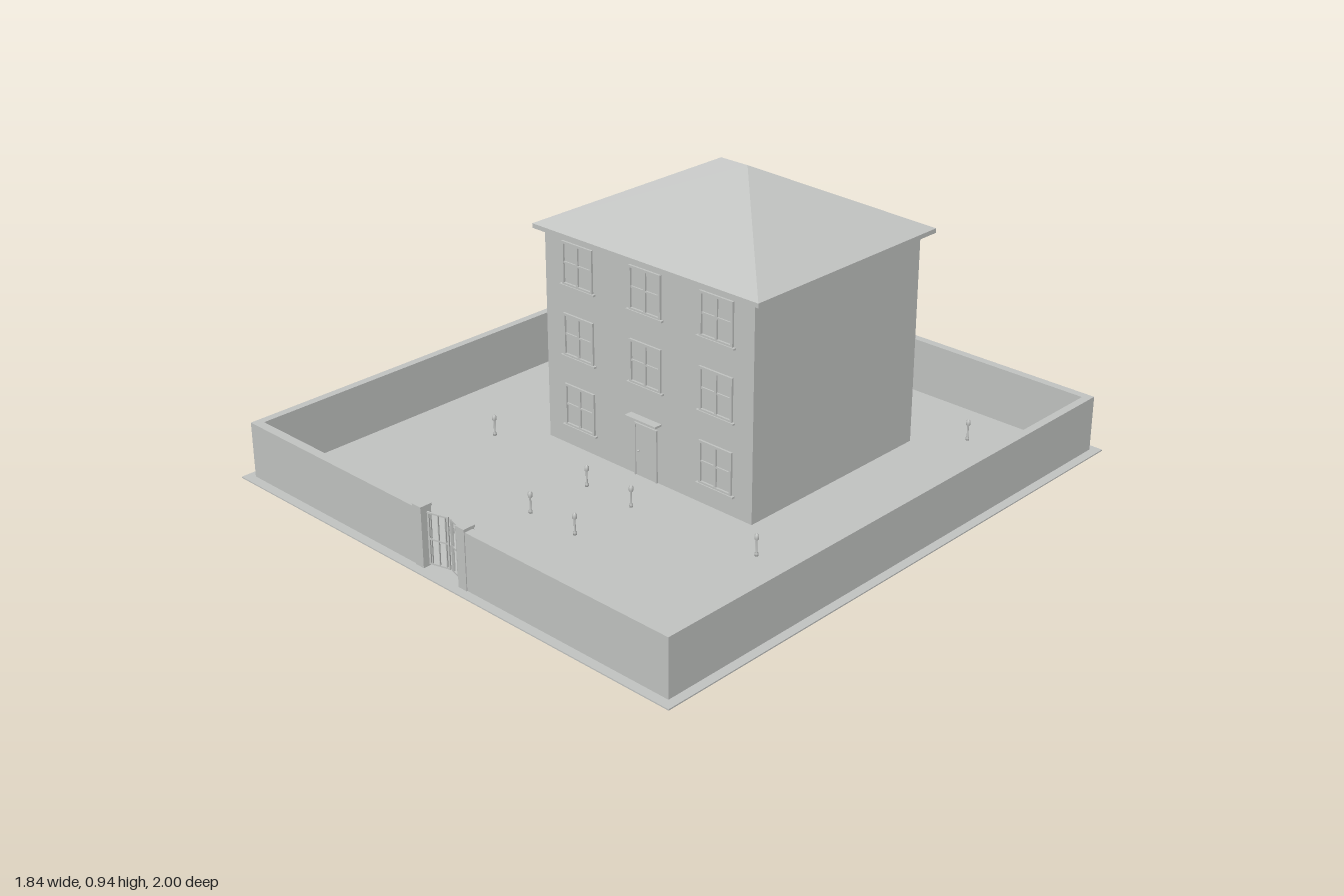
import * as THREE from 'three';

const stone = new THREE.MeshStandardMaterial({ color: 0xc0c2c0 });
stone.name = 'pale grey';

function add(parent, name, geometry, x = 0, y = 0, z = 0) {
  const mesh = new THREE.Mesh(geometry, stone);
  mesh.name = name;
  mesh.position.set(x, y, z);
  parent.add(mesh);
  return mesh;
}

// Box given by its lower and upper corners
function block(parent, name, [x0, y0, z0], [x1, y1, z1]) {
  return add(parent, name, new THREE.BoxGeometry(x1 - x0, y1 - y0, z1 - z0),
    (x0 + x1) / 2, (y0 + y1) / 2, (z0 + z1) / 2);
}

function group(parent, name, x = 0, y = 0, z = 0) {
  const g = new THREE.Group();
  g.name = name;
  g.position.set(x, y, z);
  parent.add(g);
  return g;
}

// Hipped roof: four eave corners and a short ridge
function hipRoof(w, z0, z1, y0, ridge, zr, y1) {
  const a = [-w, y0, z1], b = [w, y0, z1], c = [w, y0, z0], d = [-w, y0, z0];
  const l = [-ridge, y1, zr], r = [ridge, y1, zr];
  const faces = [a, b, r, a, r, l, b, c, r, c, d, l, c, l, r, d, a, l];
  const geo = new THREE.BufferGeometry();
  geo.setAttribute('position', new THREE.Float32BufferAttribute(faces.flat(), 3));
  geo.computeVertexNormals();
  return geo;
}

// Window frame with cross bars and a sill, facing local +z, origin at bottom centre
function addWindow(parent, x, y) {
  const win = group(parent, 'window', x, y, 0);
  const w = 0.066, h = 0.145, t = 0.008, d = 0.007;
  for (const s of [-1, 1]) {
    const e = s * (w - t / 2);
    block(win, 'frameSide', [e - t / 2, 0, 0], [e + t / 2, h, d]);
  }
  block(win, 'frameTop', [-w + t, h - t, 0], [w - t, h, d]);
  block(win, 'frameBottom', [-w + t, 0, 0], [w - t, t, d]);
  block(win, 'mullion', [-0.004, t, 0], [0.004, h - t, d - 0.001]);
  block(win, 'transom', [-w + t, 0.072, 0], [w - t, 0.078, d - 0.002]);
  block(win, 'sill', [-0.075, -0.004, 0], [0.075, 0.002, 0.011]);
}

function addHouse(model) {
  const house = group(model, 'house');
  block(house, 'houseWalls', [-0.435, 0, -0.628], [0.435, 0.72, 0.14]);
  block(house, 'eaves', [-0.467, 0.718, -0.663], [0.467, 0.733, 0.163]);
  add(house, 'roof', hipRoof(0.467, -0.663, 0.163, 0.733, 0.054, -0.25, 0.943));

  // Three rows of windows on the front and back
  const front = group(house, 'frontFacade', 0, 0, 0.14);
  const back = group(house, 'backFacade', 0, 0, -0.628);
  back.rotation.y = Math.PI;
  for (const side of [front, back])
    for (const y of [0.072, 0.315, 0.556])
      for (const x of [-0.29, 0, 0.29])
        if (side === back || x !== 0 || y > 0.1) addWindow(side, x, y);

  // Front door with frame, knob and canopy
  block(front, 'door', [-0.042, 0.004, 0], [0.042, 0.178, 0.003]);
  for (const s of [-1, 1])
    block(front, 'doorJamb', [s * 0.045 - 0.003, 0.004, 0], [s * 0.045 + 0.003, 0.184, 0.006]);
  block(front, 'doorHead', [-0.042, 0.178, 0], [0.042, 0.184, 0.006]);
  add(front, 'doorKnob', new THREE.SphereGeometry(0.004, 8, 6), -0.03, 0.09, 0.006);
  block(front, 'canopy', [-0.065, 0.204, 0], [0.065, 0.211, 0.029]);
}

function addPerimeter(model) {
  const h = 0.19, x = 0.888, xi = 0.861;
  const walls = group(model, 'perimeterWalls');
  block(walls, 'backWall', [-x, 0, -0.973], [x, h, -0.945]);
  for (const s of [-1, 1]) {
    const span = (name, a, b, z0, z1) =>
      block(walls, name, [Math.min(s * a, s * b), 0, z0], [Math.max(s * a, s * b), h, z1]);
    span('sideWall', xi, x, -0.945, 0.939);
    span('frontWall', 0.092, x, 0.939, 0.969);
    // Gate pillar with a flat cap
    block(walls, 'gatePillar', [s * 0.0925 - 0.017, 0, 0.934], [s * 0.0925 + 0.017, 0.193, 0.972]);
    block(walls, 'pillarCap', [s * 0.0925 - 0.0185, 0.193, 0.932], [s * 0.0925 + 0.0185, 0.201, 0.974]);

    // Gate leaf, hinged on the pillar and slightly open inwards
    const leaf = group(model, 'gateLeaf', s * 0.075, 0, 0.95);
    leaf.rotation.y = -s * 0.26;
    const bar = (name, cx, cy, w, height) =>
      add(leaf, name, new THREE.BoxGeometry(w, height, 0.005), -s * cx, cy, 0);
    for (const cx of [0.004, 0.07]) bar('gateStile', cx, 0.095, 0.006, 0.17);
    for (const cy of [0.013, 0.093, 0.177]) bar('gateRail', 0.037, cy, 0.062, 0.005);
    for (const cx of [0.012, 0.037, 0.062]) bar('gateBar', cx, 0.095, 0.003, 0.16);
  }
}

// Small garden lamps: foot, pole and wider head turned as one profile
function addLamps(model) {
  const profile = [[0, 0], [0.006, 0], [0.006, 0.008], [0.003, 0.012], [0.003, 0.05],
    [0.007, 0.055], [0.007, 0.068], [0, 0.075]].map(p => new THREE.Vector2(...p));
  const geo = new THREE.LatheGeometry(profile, 10);
  const spots = [[0.565, -0.76], [0.565, 0.265], [0.096, 0.305], [0.096, 0.54], [0.096, 0.845]];
  for (const [x, z] of spots)
    for (const s of [-1, 1]) add(model, 'gardenLamp', geo, s * x, 0.004, z);
}

export function createModel() {
  const model = new THREE.Group();
  model.name = 'walledHouse';
  block(model, 'ground', [-0.918, 0, -1], [0.918, 0.004, 1]);
  addPerimeter(model);
  addHouse(model);
  addLamps(model);
  return model;
}
